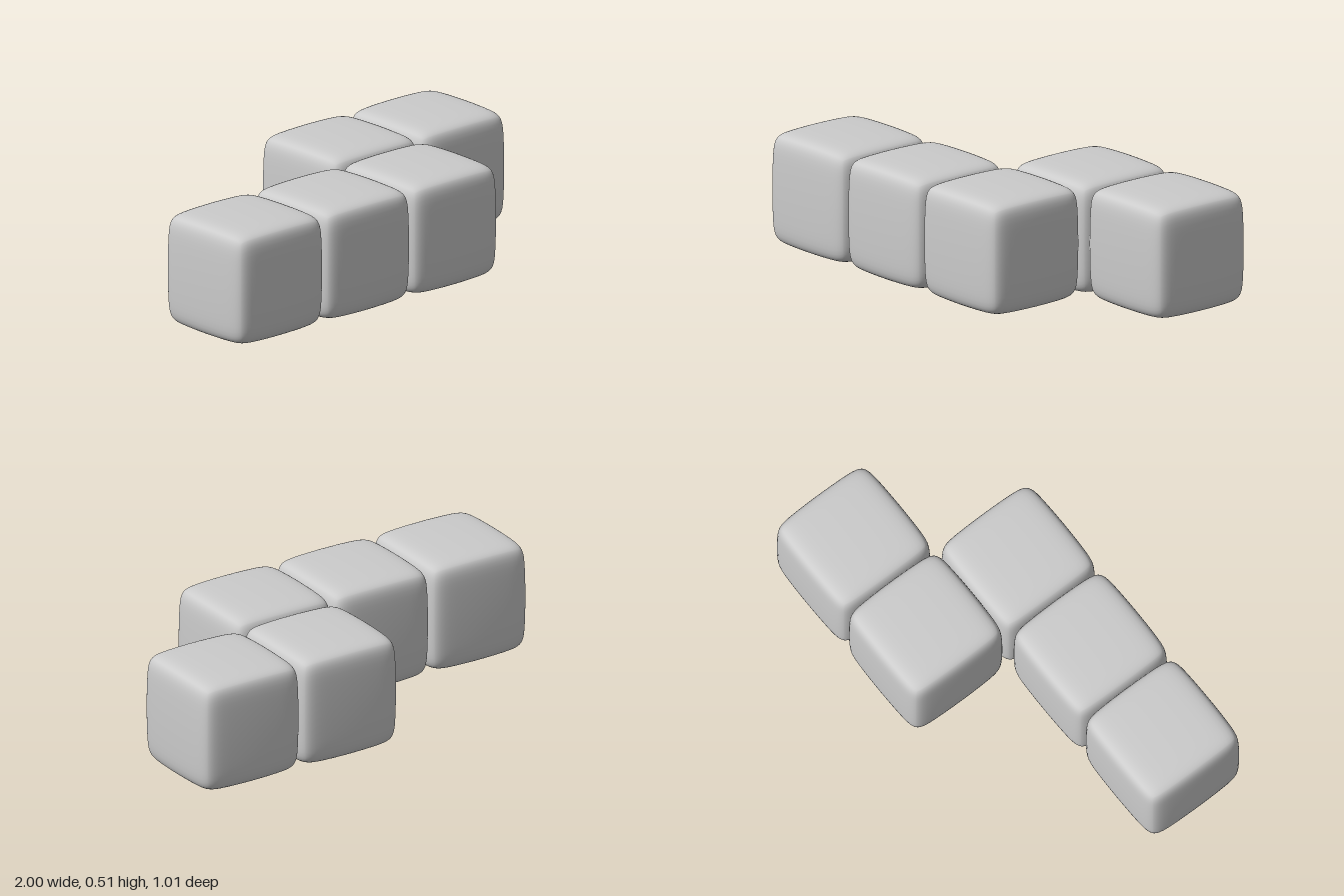
import * as THREE from 'three';
import { mergeVertices } from 'three/addons/utils/BufferGeometryUtils.js';

const SIZE = 0.508;  // full width of one block
const PITCH = 0.4973; // spacing, so neighbours just touch
const POWER = 10;    // higher = tighter rounded edges
const DOME = 0.027;  // how far each face swells toward its middle

// Pillow-like cube: a subdivided box with rounded edges and gently domed faces
function pillowCube() {
  let geo = new THREE.BoxGeometry(2, 2, 2, 22, 22, 22);
  geo.deleteAttribute('uv');
  geo.deleteAttribute('normal');
  geo = mergeVertices(geo);
  const pos = geo.attributes.position;
  for (let i = 0; i < pos.count; i++) {
    // crowd the grid toward the edges, then project to a rounded cube
    const c = [pos.getX(i), pos.getY(i), pos.getZ(i)].map((t) => Math.sin((t * Math.PI) / 2));
    const norm = c.reduce((sum, t) => sum + Math.abs(t) ** POWER, 0) ** (1 / POWER);
    const p = c.map((t) => t / norm);
    const sq = p[0] ** 2 + p[1] ** 2 + p[2] ** 2;
    const q = p.map((t) => t * (1 - DOME * (sq - t * t)) * (SIZE / 2));
    pos.setXYZ(i, ...q);
  }
  geo.computeVertexNormals();
  return geo;
}

export function createModel() {
  const model = new THREE.Group();
  model.name = 'blockPiece';
  const geometry = pillowCube();
  const material = new THREE.MeshStandardMaterial({ color: 0xcccccc });

  // Front row of three, back row of two, sharing one column
  const rows = [
    { name: 'frontBlock', z: 0.5, columns: [-1.5, -0.5, 0.5] },
    { name: 'backBlock', z: -0.5, columns: [0.5, 1.5] },
  ];
  for (const { name, z, columns } of rows) {
    columns.forEach((x, i) => {
      const block = new THREE.Mesh(geometry, material);
      block.name = name + (i + 1);
      block.position.set(x * PITCH, SIZE / 2, z * PITCH);
      model.add(block);
    });
  }
  return model;
}
